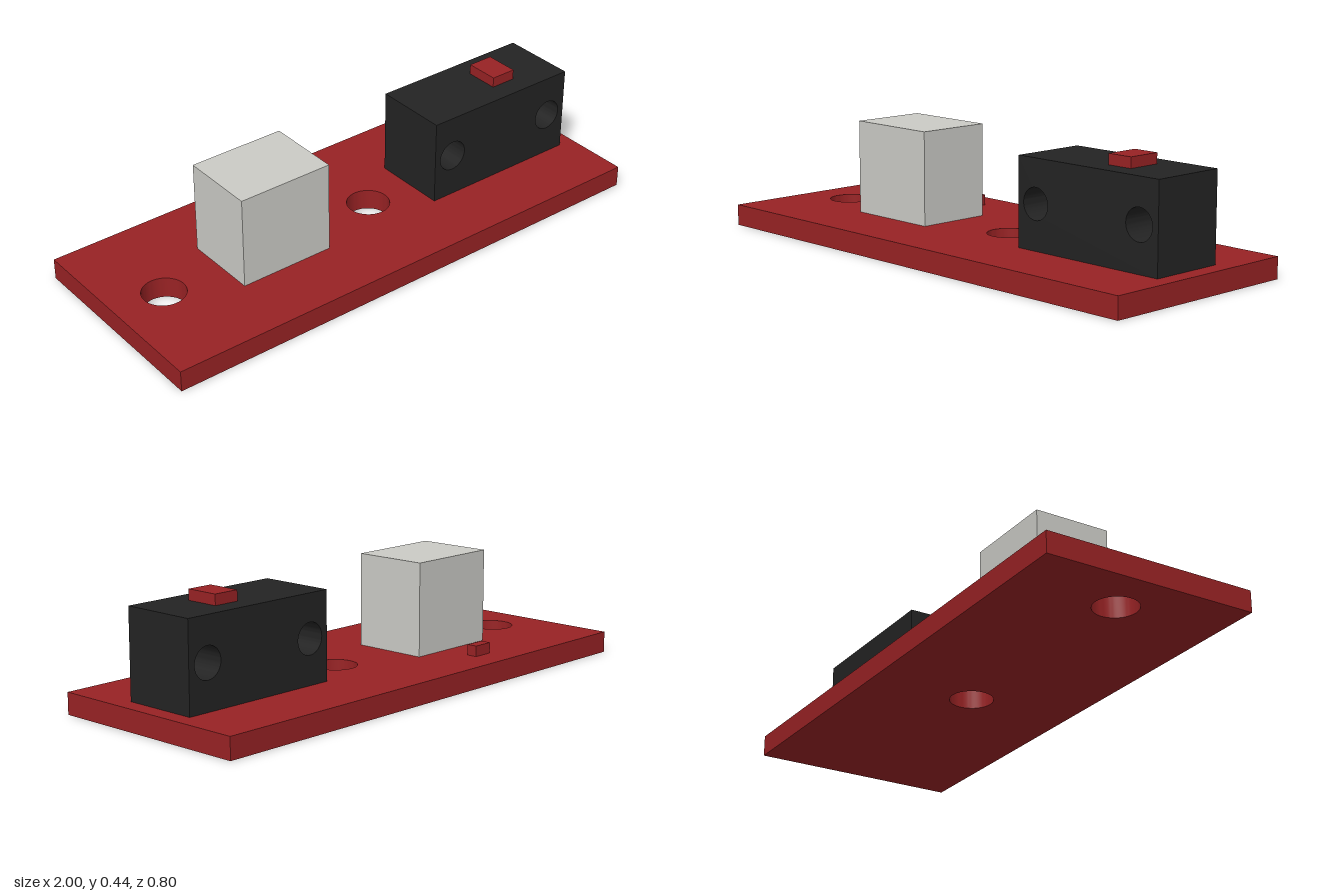
import * as THREE from 'three';
import { toCreasedNormals } from 'three/addons/utils/BufferGeometryUtils.js';

const material = (name, color) => {
  const m = new THREE.MeshStandardMaterial({ color });
  m.name = name;
  return m;
};

// Rectangular block drilled through its depth; holes are [x, y] from its centre
function drilledBlock(width, height, depth, holes, radius) {
  const shape = new THREE.Shape();
  shape.moveTo(-width / 2, -height / 2);
  shape.lineTo(width / 2, -height / 2);
  shape.lineTo(width / 2, height / 2);
  shape.lineTo(-width / 2, height / 2);
  shape.closePath();
  for (const [x, y] of holes) {
    const hole = new THREE.Path();
    hole.absarc(x, y, radius, 0, Math.PI * 2, true);
    shape.holes.push(hole);
  }
  const geometry = new THREE.ExtrudeGeometry(shape, { depth, bevelEnabled: false, curveSegments: 32 });
  geometry.translate(0, 0, -depth / 2);
  return toCreasedNormals(geometry, 0.6);
}

export function createModel() {
  const model = new THREE.Group();
  model.name = 'circuitBoardModule';
  const red = material('red', 0x982224);
  const black = material('black', 0x232323);
  const grey = material('light grey', 0xcbcbc6);

  const add = (name, geometry, mat, x, y, z) => {
    const mesh = new THREE.Mesh(geometry, mat);
    mesh.name = name;
    mesh.position.set(x, y, z);
    model.add(mesh);
    return mesh;
  };

  // Board with two mounting holes
  const boardTop = 0.08;
  const board = drilledBlock(2, 0.8, boardTop, [[-0.8, 0], [0.1, 0]], 0.08);
  board.rotateX(-Math.PI / 2);
  add('board', board, red, 0, boardTop / 2, 0);

  // Connector block
  add('connector', new THREE.BoxGeometry(0.37, 0.35, 0.29), grey, -0.378, boardTop + 0.175, 0);

  // Switch body with two cross holes, and its plunger
  const switchHeight = 0.326;
  add('switchBody', drilledBlock(0.64, switchHeight, 0.29, [[-0.237, 0.003], [0.237, 0.003]], 0.058),
    black, 0.617, boardTop + switchHeight / 2, 0);
  add('switchPlunger', new THREE.BoxGeometry(0.1, 0.04, 0.13), red, 0.693, 0.425, 0);

  // Small surface component at the back
  add('indicator', new THREE.BoxGeometry(0.08, 0.04, 0.04), red, -0.378, boardTop + 0.02, -0.275);

  return model;
}
